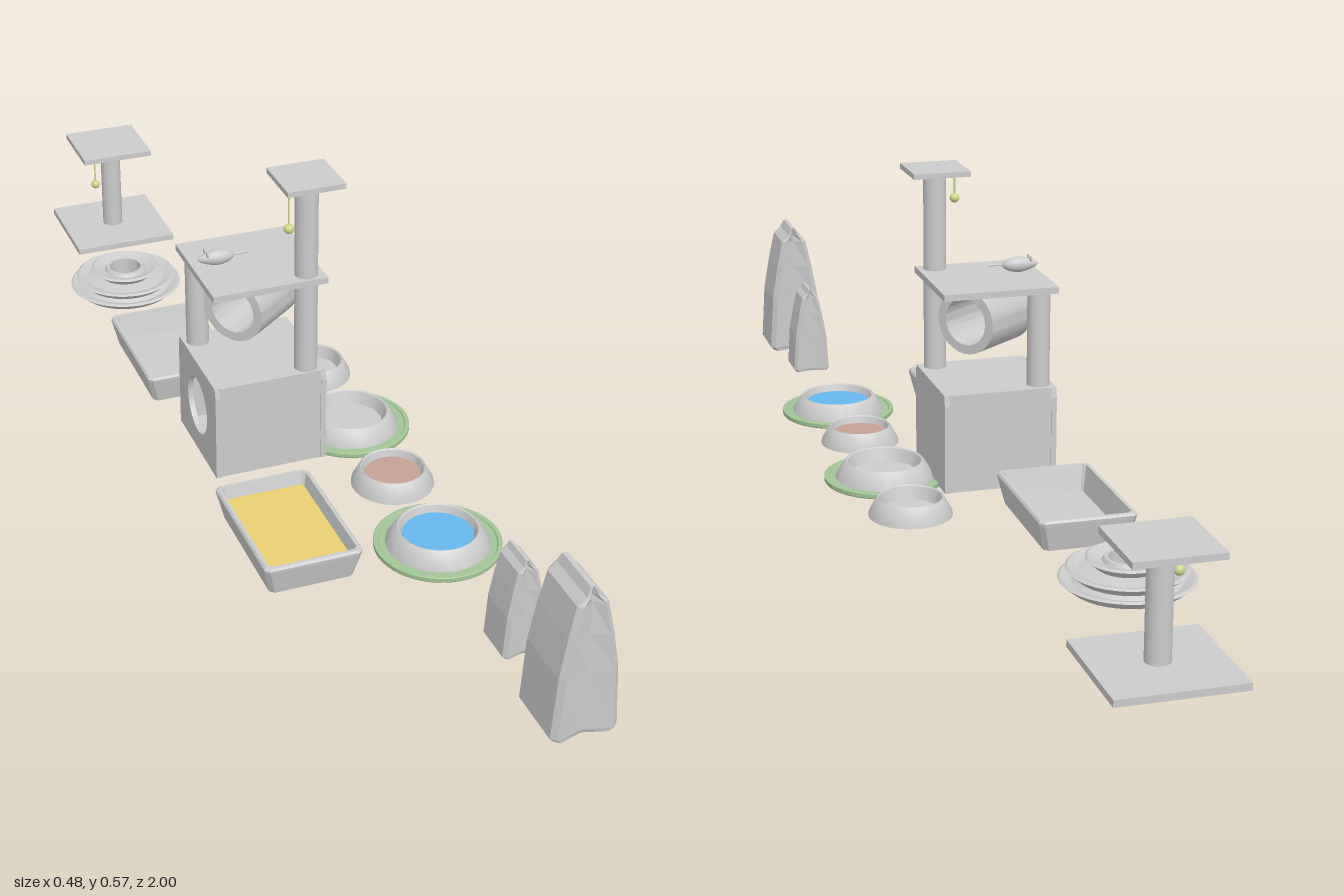
import * as THREE from 'three';
import { toCreasedNormals } from 'three/addons/utils/BufferGeometryUtils.js';

const material = (color) => new THREE.MeshStandardMaterial({ color });
const GREY = material(0xcccccc);
const GREEN = material(0xa2c596);
const OLIVE = material(0xd0d68b);
const YELLOW = material(0xe8cf72);
const BROWN = material(0xc3a294);
const BLUE = material(0x66b7ec);

function add(parent, name, geometry, x = 0, y = 0, z = 0, mat = GREY) {
  const mesh = new THREE.Mesh(geometry, mat);
  mesh.name = name;
  mesh.position.set(x, y, z);
  parent.add(mesh);
  return mesh;
}

function group(parent, name, x = 0, z = 0) {
  const g = new THREE.Group();
  g.name = name;
  g.position.set(x, 0, z);
  parent.add(g);
  return g;
}

const lathe = (profile, sides = 40) => toCreasedNormals(
  new THREE.LatheGeometry(profile.map(([r, y]) => new THREE.Vector2(r, y)), sides), 0.5);

// Box or cylinder standing between two heights
const plate = (parent, name, w, d, y0, y1, x, z) =>
  add(parent, name, new THREE.BoxGeometry(w, y1 - y0, d), x, (y0 + y1) / 2, z);
const post = (parent, name, r, y0, y1, x, z, mat) =>
  add(parent, name, new THREE.CylinderGeometry(r, r, y1 - y0, 28), x, (y0 + y1) / 2, z, mat);

// Flat-shaded skin through a stack of rings, capped at both ends
function loft(rings) {
  const pos = [];
  const tri = (...points) => points.forEach((p) => pos.push(p.x, p.y, p.z));
  const n = rings[0].length;
  const centre = (ring) => ring.reduce((s, p) => s.add(p), new THREE.Vector3()).divideScalar(n);
  const first = rings[0], last = rings[rings.length - 1];
  const c0 = centre(first), c1 = centre(last);
  for (let j = 0; j < n; j++) {
    const k = (j + 1) % n;
    for (let i = 0; i < rings.length - 1; i++) {
      tri(rings[i][j], rings[i + 1][j], rings[i + 1][k]);
      tri(rings[i][j], rings[i + 1][k], rings[i][k]);
    }
    tri(c0, first[j], first[k]);
    tri(c1, last[k], last[j]);
  }
  const geometry = new THREE.BufferGeometry();
  geometry.setAttribute('position', new THREE.Float32BufferAttribute(pos, 3));
  geometry.computeVertexNormals();
  return geometry;
}

// Rectangle with cut corners and a fold of depth g in the two z sides
const ring = (hx, hz, y, c, g = 0) => [
  [hx, -hz + c], [hx, hz - c], [hx - c, hz], [0, hz - g], [-hx + c, hz],
  [-hx, hz - c], [-hx, -hz + c], [-hx + c, -hz], [0, -hz + g], [hx - c, -hz],
].map(([x, z]) => new THREE.Vector3(x, y, z));

function hangingBall(parent, x, top, bottom, z) {
  const g = group(parent, 'hangingBall', x, z);
  post(g, 'string', 0.0015, bottom, top, 0, 0, OLIVE);
  add(g, 'ball', new THREE.SphereGeometry(0.009, 20, 14), 0, bottom, 0, OLIVE);
}

// Hollow house with a round doorway in its -x wall
function house(parent) {
  const g = group(parent, 'house', -0.067, 0.023);
  const h = 0.106, t = 0.01, y0 = 0.005, y1 = 0.191;
  const wall = new THREE.Shape([[-h, y0], [h, y0], [h, y1 - 0.02], [h - 0.004, y1],
    [-h + 0.004, y1], [-h, y1 - 0.02]].map(([x, y]) => new THREE.Vector2(x, y)));
  const back = wall.clone();
  wall.holes.push(new THREE.Path().absarc(0, 0.1, 0.055, 0, Math.PI * 2, true));
  const options = { depth: t, bevelEnabled: false, curveSegments: 20 };
  const side = new THREE.ExtrudeGeometry(wall, options);
  add(g, 'doorWall', side, -h).rotation.y = Math.PI / 2;
  add(g, 'sideWall', new THREE.ExtrudeGeometry(back, options), h - t).rotation.y = Math.PI / 2;
  for (const s of [-1, 1]) plate(g, 'crossWall', 2 * (h - t), t, y0, y1, 0, s * (h - t / 2 - 0.002));
  plate(g, 'floor', 2 * (h - t), 2 * (h - t), y0, y0 + t, 0, 0);
  plate(g, 'roof', 2 * (h - t), 2 * (h - t), y1 - t, y1, 0, 0);
}

function toyMouse(parent) {
  const g = group(parent, 'toyMouse', -0.133, 0.023);
  const body = new THREE.SphereGeometry(1, 20, 14);
  const p = body.attributes.position;
  for (let i = 0; i < p.count; i++) {
    const x = p.getX(i), taper = x < 0 ? 1 + 0.35 * x : 1;
    p.setXYZ(i, x * 0.034, p.getY(i) * 0.0145 * taper, p.getZ(i) * 0.014 * taper);
  }
  body.computeVertexNormals();
  add(g, 'body', body, 0, 0.4, 0);
  for (const s of [-1, 1]) {
    add(g, 'ear', new THREE.SphereGeometry(0.0055, 12, 8), -0.018, 0.411, s * 0.008).scale.x = 0.4;
  }
  const tail = new THREE.CatmullRomCurve3([[0.03, 0.4, 0], [0.042, 0.401, 0.002], [0.06, 0.4, 0]]
    .map((a) => new THREE.Vector3(...a)));
  add(g, 'tail', new THREE.TubeGeometry(tail, 10, 0.0018, 8));
}

function climbingTree(parent) {
  const g = group(parent, 'climbingTree');
  house(g);
  post(g, 'backPost', 0.021, 0.191, 0.369, -0.146, -0.052);
  post(g, 'frontPost', 0.021, 0.191, 0.369, 0.008, 0.104);
  plate(g, 'platform', 0.214, 0.214, 0.369, 0.381, -0.067, 0.023);
  post(g, 'upperPost', 0.021, 0.381, 0.563, 0.008, 0.104);
  plate(g, 'topPerch', 0.107, 0.107, 0.563, 0.573, 0.007, 0.103);
  const tunnel = lathe([[0.061, -0.063], [0.061, 0.063], [0.044, 0.063],
    [0.044, -0.063], [0.061, -0.063]], 48);
  add(g, 'tunnel', tunnel, -0.067, 0.309, 0.023).rotation.set(0, 0.67, Math.PI / 2);
  hangingBall(g, -0.043, 0.563, 0.502, 0.152);
  toyMouse(g);
}

function scratchingPost(parent) {
  const g = group(parent, 'scratchingPost', -0.07, -0.892);
  plate(g, 'base', 0.214, 0.214, 0.014, 0.026, 0, 0);
  post(g, 'post', 0.021, 0.026, 0.208, 0, 0);
  plate(g, 'perch', 0.148, 0.148, 0.208, 0.219, -0.003, 0);
  hangingBall(g, -0.048, 0.208, 0.147, 0.047);
}

// Tiered track: three flared discs around an open centre
function trackToy(parent) {
  const profile = [[0.032, 0.018], [0.075, 0.018]];
  for (const [r, y] of [[0.114, 0.02], [0.102, 0.037], [0.07, 0.054]]) {
    profile.push([r - 0.018, y], [r, y + 0.015], [r - 0.005, y + 0.018], [r - 0.022, y + 0.012]);
  }
  profile.push([0.042, 0.064], [0.038, 0.07], [0.032, 0.07], [0.032, 0.018]);
  add(group(parent, 'trackToy', -0.127, -0.6), 'tiers', lathe(profile, 36));
}

function tray(parent, name, z, filled) {
  const g = group(parent, name, -0.126, z);
  add(g, 'pan', loft([ring(0.076, 0.122, 0.009, 0.008), ring(0.087, 0.133, 0.056, 0.008),
    ring(0.088, 0.134, 0.062, 0.008), ring(0.085, 0.131, 0.066, 0.008),
    ring(0.079, 0.125, 0.066, 0.006), ring(0.07, 0.112, 0.02, 0.004)]));
  if (filled) add(g, 'litter', loft([ring(0.069, 0.111, 0.022, 0.004), ring(0.072, 0.116, 0.045, 0.004)]),
    0, 0, 0, YELLOW);
}

function bowl(parent, z, scale, mat, fill) {
  const g = group(parent, 'bowl', 0.123, z);
  const r = 0.092 * scale;
  add(g, 'dish', lathe([[0, 0.004], [r, 0.004], [r * 0.99, 0.009], [r * 0.8, 0.036],
    [r * 0.77, 0.038], [r * 0.74, 0.036], [r * 0.65, 0.013], [0, 0.013]]));
  if (mat) add(g, 'mat', lathe([[0.09, 0], [0.111, 0], [0.1125, 0.002], [0.1125, 0.009],
    [0.111, 0.01], [0.105, 0.01], [0.103, 0.007], [0.09, 0.007], [0.09, 0]], 48), 0, 0, 0, GREEN);
  if (fill) post(g, 'contents', r * 0.68, 0.014, 0.024, 0, 0, fill);
}

// Gusseted sack pinched to a ridge along z
function sack(parent, z, s) {
  const levels = [[0.05, 0.059, 0], [0.057, 0.062, 0.008], [0.05, 0.062, 0.12], [0.038, 0.06, 0.19],
    [0.026, 0.056, 0.246], [0.011, 0.053, 0.259], [0.004, 0.048, 0.274]];
  const rings = levels.map(([hx, hz, y], i) =>
    ring(hx * s, hz * s, 0.008 + y * s, Math.min(0.009, hx * 0.3) * s, (i < 6 ? 0.012 : 0.004) * s));
  add(group(parent, 'foodSack', 0.124, z), 'sack', loft(rings));
}

export function createModel() {
  const model = new THREE.Group();
  model.name = 'petSupplies';
  climbingTree(model);
  scratchingPost(model);
  trackToy(model);
  tray(model, 'emptyTray', -0.281, false);
  tray(model, 'litterTray', 0.371, true);
  bowl(model, -0.16, 0.82, false);
  bowl(model, 0.04, 1, true);
  bowl(model, 0.247, 0.82, false, BROWN);
  bowl(model, 0.449, 1, true, BLUE);
  sack(model, 0.937, 1);
  sack(model, 0.748, 0.66);
  return model;
}
